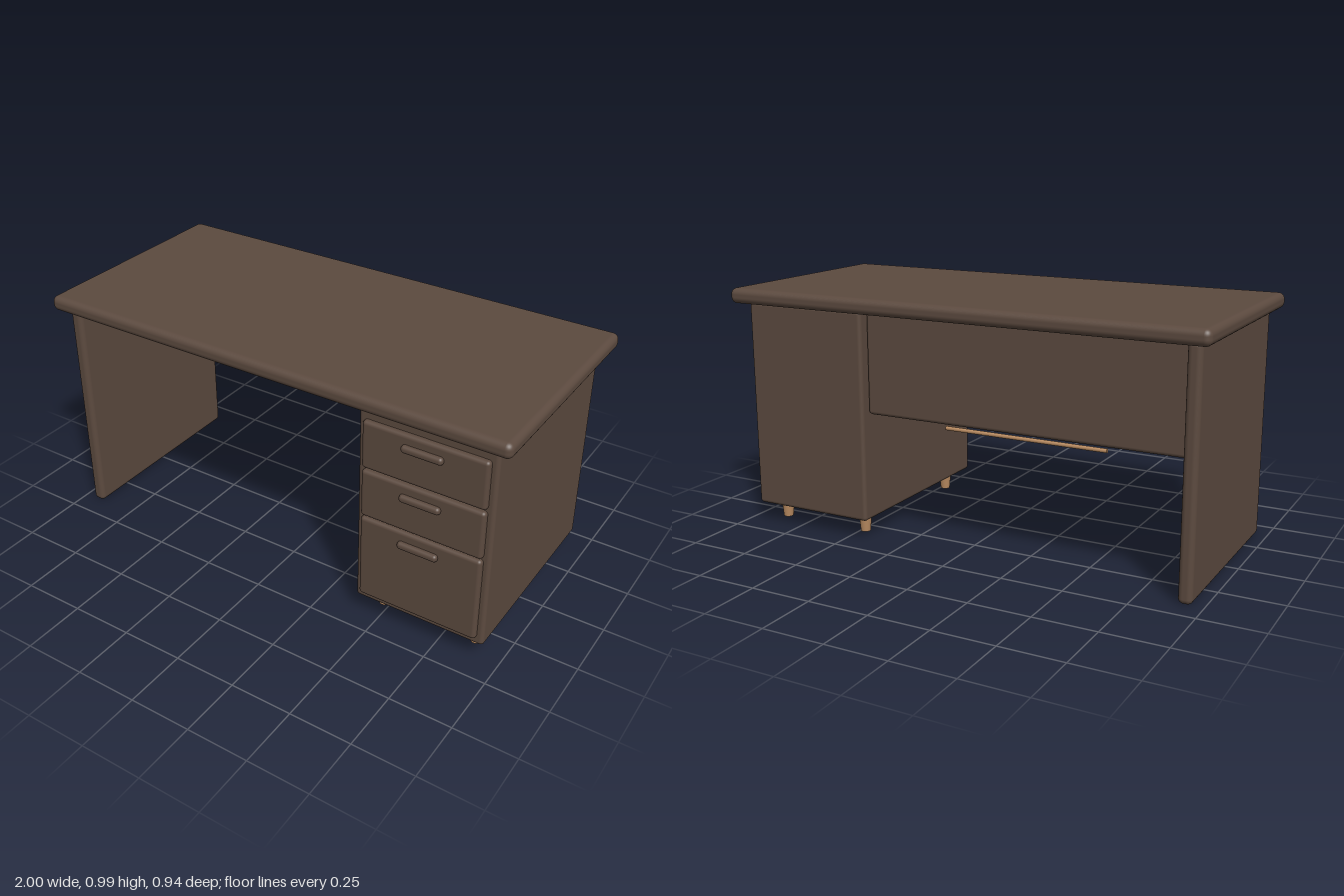
import * as THREE from 'three';
import { RoundedBoxGeometry } from 'three/addons/geometries/RoundedBoxGeometry.js';

export function createModel() {
  const desk = new THREE.Group();
  desk.name = 'desk';

  const darkWood = new THREE.MeshStandardMaterial({ color: 0x5c4a3f });
  darkWood.name = 'dark wood';
  const paleWood = new THREE.MeshStandardMaterial({ color: 0xb88a60 });
  paleWood.name = 'pale wood';

  // Rounded board given by its limits on each axis
  function board(name, [x0, x1], [y0, y1], [z0, z1], radius) {
    const geometry = new RoundedBoxGeometry(x1 - x0, y1 - y0, z1 - z0, 4, radius);
    const mesh = new THREE.Mesh(geometry, darkWood);
    mesh.name = name;
    mesh.position.set((x0 + x1) / 2, (y0 + y1) / 2, (z0 + z1) / 2);
    desk.add(mesh);
  }

  // Main boards
  board('desktop', [-1, 1], [0.93, 0.992], [-0.468, 0.468], 0.025);
  board('sidePanel', [-0.956, -0.902], [0.003, 0.94], [-0.417, 0.417], 0.02);
  board('modestyPanel', [-0.92, 0.4], [0.523, 0.935], [-0.385, -0.335], 0.015);
  board('cabinet', [0.405, 0.942], [0.084, 0.935], [-0.417, 0.417], 0.015);

  // Drawer fronts, each with a bar handle
  const drawers = [[0.687, 0.882, 0.83], [0.48, 0.678, 0.625], [0.117, 0.473, 0.42]];
  for (const [bottom, top, handleY] of drawers) {
    board('drawerFront', [0.428, 0.917], [bottom, top], [0.39, 0.438], 0.014);
    board('drawerHandle', [0.59, 0.752], [handleY - 0.015, handleY + 0.015], [0.422, 0.456], 0.013);
  }

  // Tapered cabinet feet
  const footGeometry = new THREE.CylinderGeometry(0.028, 0.02, 0.085, 24);
  for (const x of [0.475, 0.872]) {
    for (const z of [-0.319, 0.319]) {
      const foot = new THREE.Mesh(footGeometry, paleWood);
      foot.name = 'cabinetFoot';
      foot.position.set(x, 0.05, z);
      desk.add(foot);
    }
  }

  // Slim rod below the modesty panel
  const rod = new THREE.Mesh(new THREE.CylinderGeometry(0.008, 0.008, 0.665, 16), paleWood);
  rod.name = 'footRod';
  rod.rotation.z = Math.PI / 2;
  rod.position.set(-0.268, 0.502, -0.35);
  desk.add(rod);

  return desk;
}
